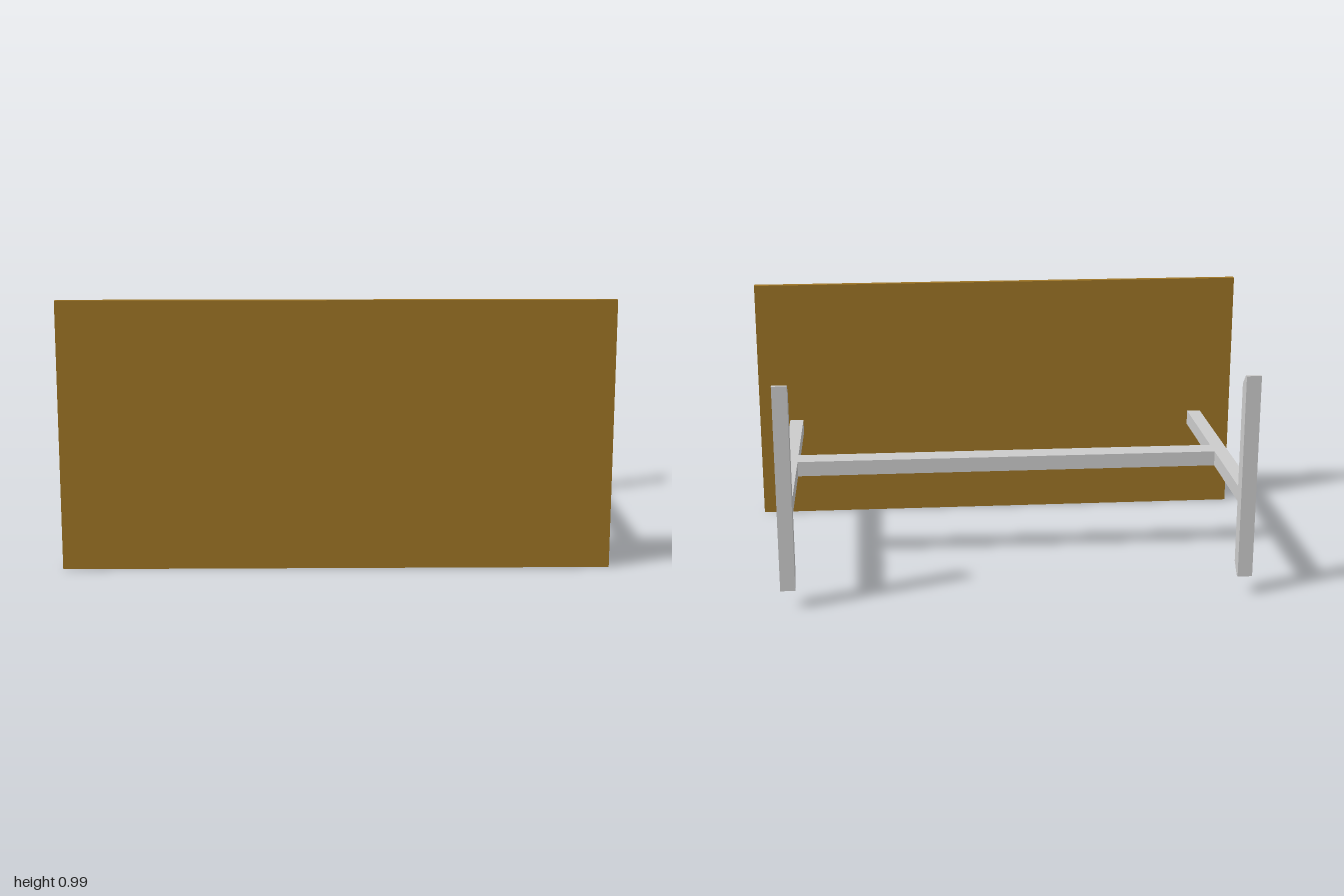
import * as THREE from 'three';

const grey = new THREE.MeshStandardMaterial({ color: 0xcccccc, flatShading: true });
const wood = new THREE.MeshStandardMaterial({ color: 0x9d7425, flatShading: true });

// Box given by its minimum and maximum corners
function box(name, material, [x0, y0, z0], [x1, y1, z1]) {
  const mesh = new THREE.Mesh(new THREE.BoxGeometry(x1 - x0, y1 - y0, z1 - z0), material);
  mesh.position.set((x0 + x1) / 2, (y0 + y1) / 2, (z0 + z1) / 2);
  mesh.name = name;
  return mesh;
}

export function createModel() {
  const group = new THREE.Group();
  group.name = 'tableOnItsSide';

  // Upright slab
  group.add(box('tableTop', wood, [-1, 0, 0.51], [1, 0.988, 0.535]));

  // Stretcher between the legs
  group.add(box('crossbar', grey, [-0.82, 0.352, -0.06], [0.82, 0.41, 0.027]));

  // Foot profile in (z, y), with both ends chamfered towards the table top
  const profile = new THREE.Shape([
    [-0.535, 0.072], [-0.52, 0.072], [-0.478, 0.113],
    [-0.478, 0.806], [-0.52, 0.847], [-0.535, 0.847],
  ].map(([z, y]) => new THREE.Vector2(-z, y)));
  const width = 0.055;
  const footGeometry = new THREE.ExtrudeGeometry(profile, { depth: width, bevelEnabled: false });
  footGeometry.rotateY(Math.PI / 2); // shape x becomes -z, depth becomes +x

  for (const [side, x] of [['left', 0.82], ['right', -0.875]]) {
    group.add(box(side + 'Leg', grey, [x, 0.352, -0.478], [x + width, 0.41, 0.51]));
    const foot = new THREE.Mesh(footGeometry, grey);
    foot.position.x = x;
    foot.name = side + 'Foot';
    group.add(foot);
  }
  return group;
}
